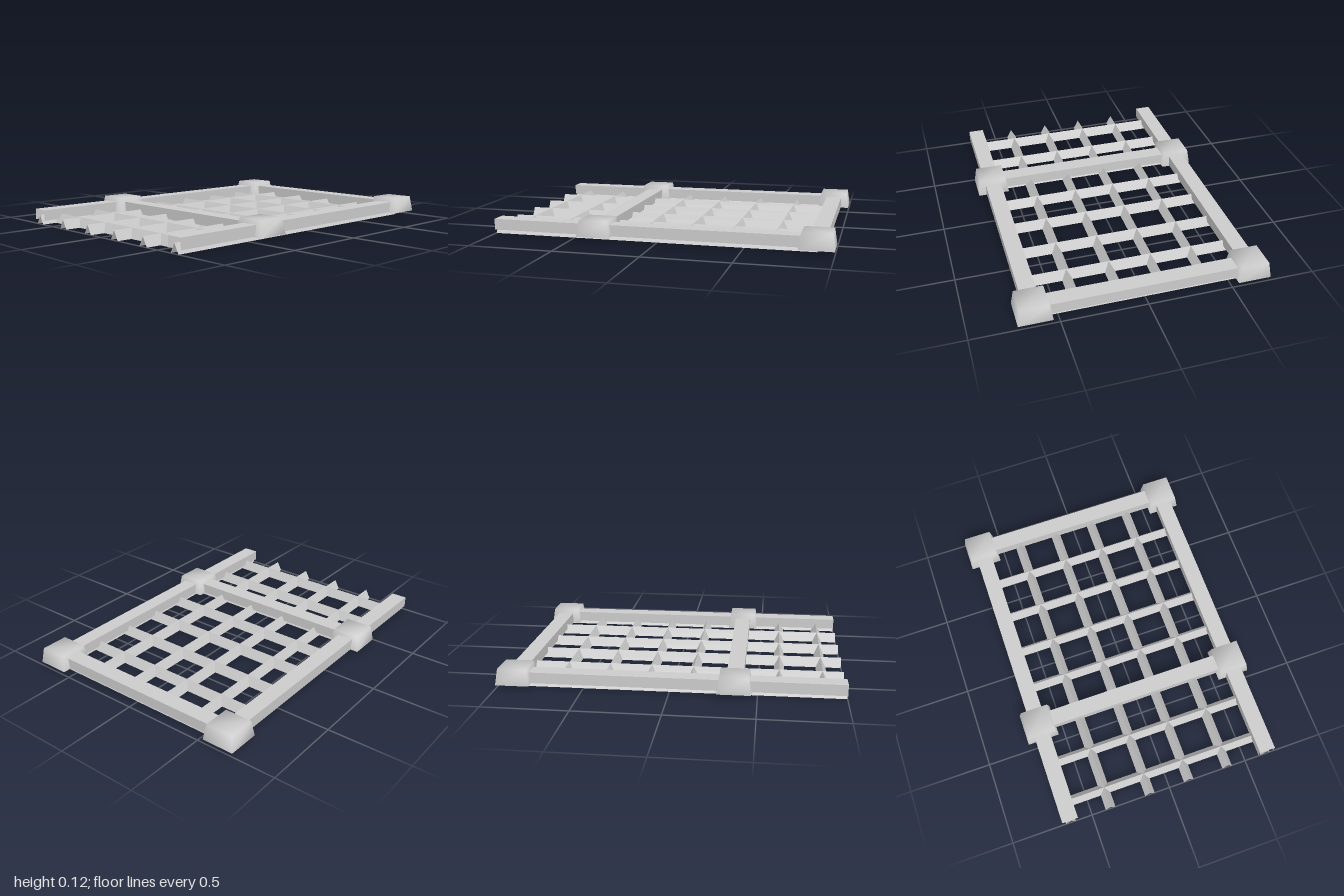
import * as THREE from 'three';
import { mergeVertices } from 'three/addons/utils/BufferGeometryUtils.js';

const material = new THREE.MeshStandardMaterial({ color: 0xcccccc, side: THREE.DoubleSide });

const PITCH = 0.254;            // lattice spacing
const SIDE = 2.5 * PITCH;       // x of the side rails
const BACK = -0.902;            // z of the back rail
const FRONT = 1;                // open front end
const MIDDLE = BACK + 5 * PITCH; // z of the middle rail

// Open folded sheet: a profile of [across, y] points, swept along z from z0 to z1
function foldedSheet(profile, z0, z1) {
  const positions = [];
  for (let i = 0; i < profile.length - 1; i++) {
    const [ax, ay] = profile[i];
    const [bx, by] = profile[i + 1];
    positions.push(
      ax, ay, z0, ax, ay, z1, bx, by, z1,
      ax, ay, z0, bx, by, z1, bx, by, z0
    );
  }
  const geometry = new THREE.BufferGeometry();
  geometry.setAttribute('position', new THREE.Float32BufferAttribute(positions, 3));
  geometry.computeVertexNormals();
  return geometry;
}

// Tapered post cap, open underneath, with soft shading over its edges
function capGeometry(bottomHalf, topHalf, y0, y1) {
  const geometry = new THREE.BoxGeometry(2, 1, 2);
  const index = Array.from(geometry.index.array);
  index.splice(18, 6); // leave out the bottom face
  geometry.setIndex(index);
  const p = geometry.attributes.position;
  for (let i = 0; i < p.count; i++) {
    const top = p.getY(i) > 0;
    const half = top ? topHalf : bottomHalf;
    p.setXYZ(i, p.getX(i) * half, top ? y1 : y0, p.getZ(i) * half);
  }
  geometry.deleteAttribute('normal');
  geometry.deleteAttribute('uv');
  const welded = mergeVertices(geometry);
  welded.computeVertexNormals();
  return welded;
}

export function createModel() {
  const model = new THREE.Group();
  model.name = 'latticePanel';

  const add = (name, geometry, x = 0, z = 0, turn = 0) => {
    const mesh = new THREE.Mesh(geometry, material);
    mesh.name = name;
    mesh.position.set(x, 0, z);
    mesh.rotation.y = turn;
    model.add(mesh);
  };

  // Ridged slats, open below, crossing at one height
  const ridge = [[-0.031, 0], [0, 0.057], [0.031, 0]];
  const longSlat = foldedSheet(ridge, BACK, FRONT);
  const crossSlat = foldedSheet(ridge, -SIDE, SIDE);
  for (let i = 0; i < 6; i++) add('longSlat', longSlat, -SIDE + i * PITCH);
  for (let i = 0; i < 8; i++) add('crossSlat', crossSlat, 0, BACK + i * PITCH, Math.PI / 2);

  // Channel rails, open below
  const channel = [[-0.049, 0.025], [-0.049, 0.09], [0.049, 0.09], [0.049, 0.025]];
  const sideRail = foldedSheet(channel, BACK - 0.049, FRONT);
  const crossRail = foldedSheet(channel, -SIDE - 0.049, SIDE + 0.049);
  for (const x of [-SIDE, SIDE]) add('sideRail', sideRail, x);
  for (const z of [BACK, MIDDLE]) add('crossRail', crossRail, 0, z, Math.PI / 2);

  // Caps over the rail joints
  const cap = capGeometry(0.098, 0.084, 0.022, 0.117);
  for (const x of [-SIDE, SIDE]) {
    for (const z of [BACK, MIDDLE]) add('jointCap', cap, x, z);
  }

  return model;
}
